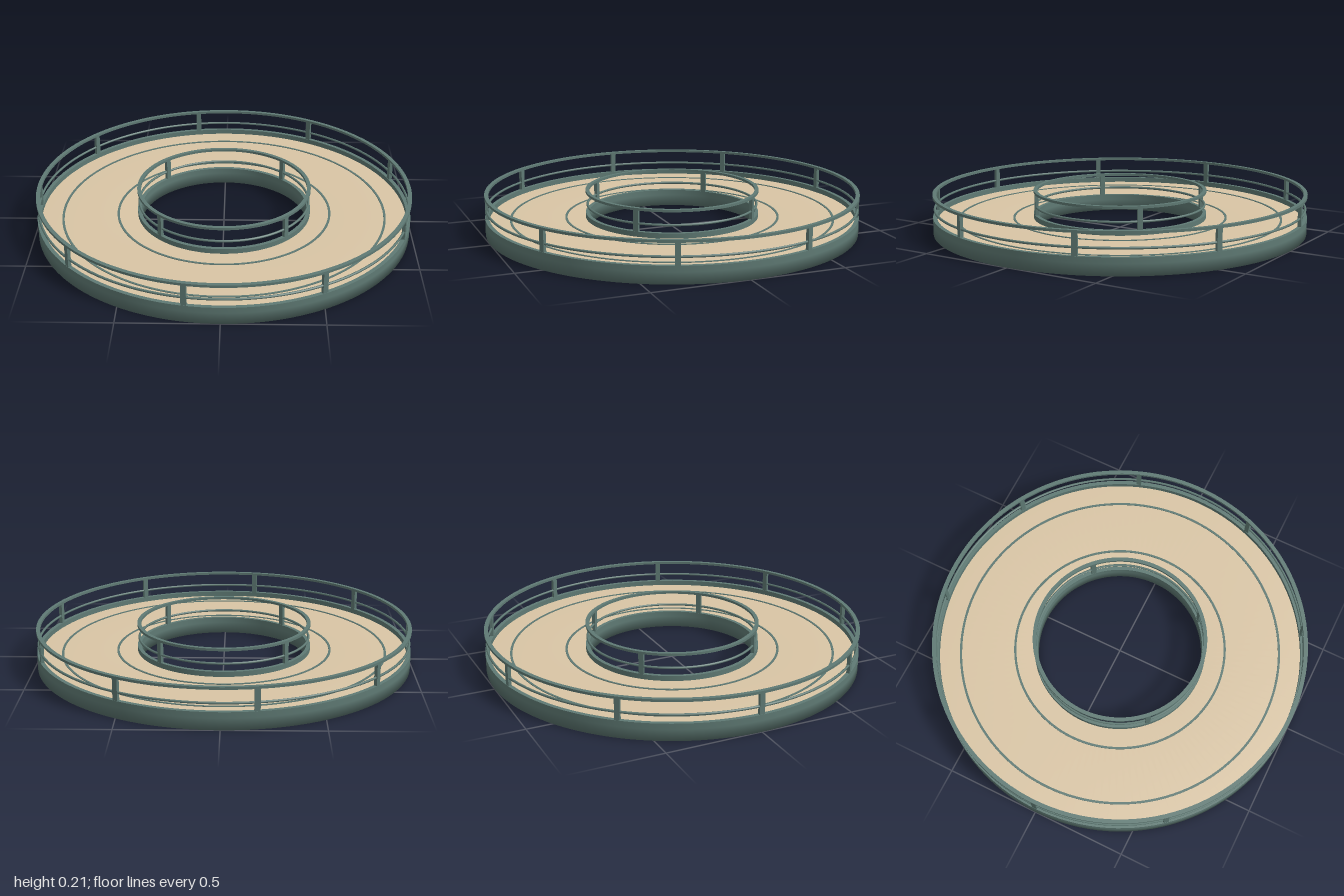
import * as THREE from 'three';
import { toCreasedNormals } from 'three/addons/utils/BufferGeometryUtils.js';

const SEG = 128;
const R_IN = 0.445, R_OUT = 1.0;   // edges of the ring platform
const FLOOR = 0.063, RAIL_TOP = 0.213;

const lathe = (pts) =>
  new THREE.LatheGeometry(pts.map(([r, y]) => new THREE.Vector2(r, y)), SEG);

// Ring with a sharp rectangular section
function band(r0, r1, y0, y1) {
  return toCreasedNormals(lathe([[r0, y0], [r1, y0], [r1, y1], [r0, y1], [r0, y0]]), 0.6);
}

export function createModel() {
  const green = new THREE.MeshStandardMaterial({ color: 0x5f7a74 });
  green.name = 'grey green metal';
  const tan = new THREE.MeshStandardMaterial({ color: 0xd9c5a5 });
  tan.name = 'tan decking';

  const model = new THREE.Group();
  model.name = 'ringPlatform';
  const add = (parent, name, geometry, material) => {
    const mesh = new THREE.Mesh(geometry, material);
    mesh.name = name;
    parent.add(mesh);
    return mesh;
  };

  // Base tray, softly shaded across its corners
  add(model, 'base', lathe([[R_IN, 0.06], [R_IN, 0], [R_OUT, 0], [R_OUT, 0.06]]), green);

  // Walking deck, also softly shaded
  add(model, 'deck', lathe([[0.985, 0.045], [0.985, FLOOR], [0.46, FLOOR], [0.46, 0.045]]), tan);

  // Thin painted circles on the deck
  for (const r of [0.57, 0.865]) {
    add(model, 'deckLine', band(r - 0.006, r + 0.006, FLOOR - 0.002, FLOOR + 0.003), green);
  }

  // Guard rail: curb, top rail, mid rail and evenly spaced posts
  function guardRail(name, r0, r1, posts, startAngle) {
    const rail = new THREE.Group();
    rail.name = name;
    model.add(rail);
    const mid = (r0 + r1) / 2;
    add(rail, 'curb', band(r0, r1, 0.06, 0.09), green);
    add(rail, 'topRail', band(r0, r1, 0.2, RAIL_TOP), green);
    const midRail = add(rail, 'midRail', new THREE.TorusGeometry(mid, 0.0065, 8, SEG), green);
    midRail.rotation.x = Math.PI / 2;
    midRail.position.y = 0.131;
    for (let i = 0; i < posts; i++) {
      const a = startAngle + (i / posts) * Math.PI * 2;
      const post = add(rail, 'post', new THREE.BoxGeometry(0.018, 0.142, 0.027), green);
      post.position.set(Math.cos(a) * mid, 0.132, Math.sin(a) * mid);
      post.rotation.y = -a;
    }
  }
  guardRail('outerGuardRail', 0.979, R_OUT, 9, Math.PI);
  guardRail('innerGuardRail', R_IN, 0.465, 4, Math.PI / 4);

  return model;
}
